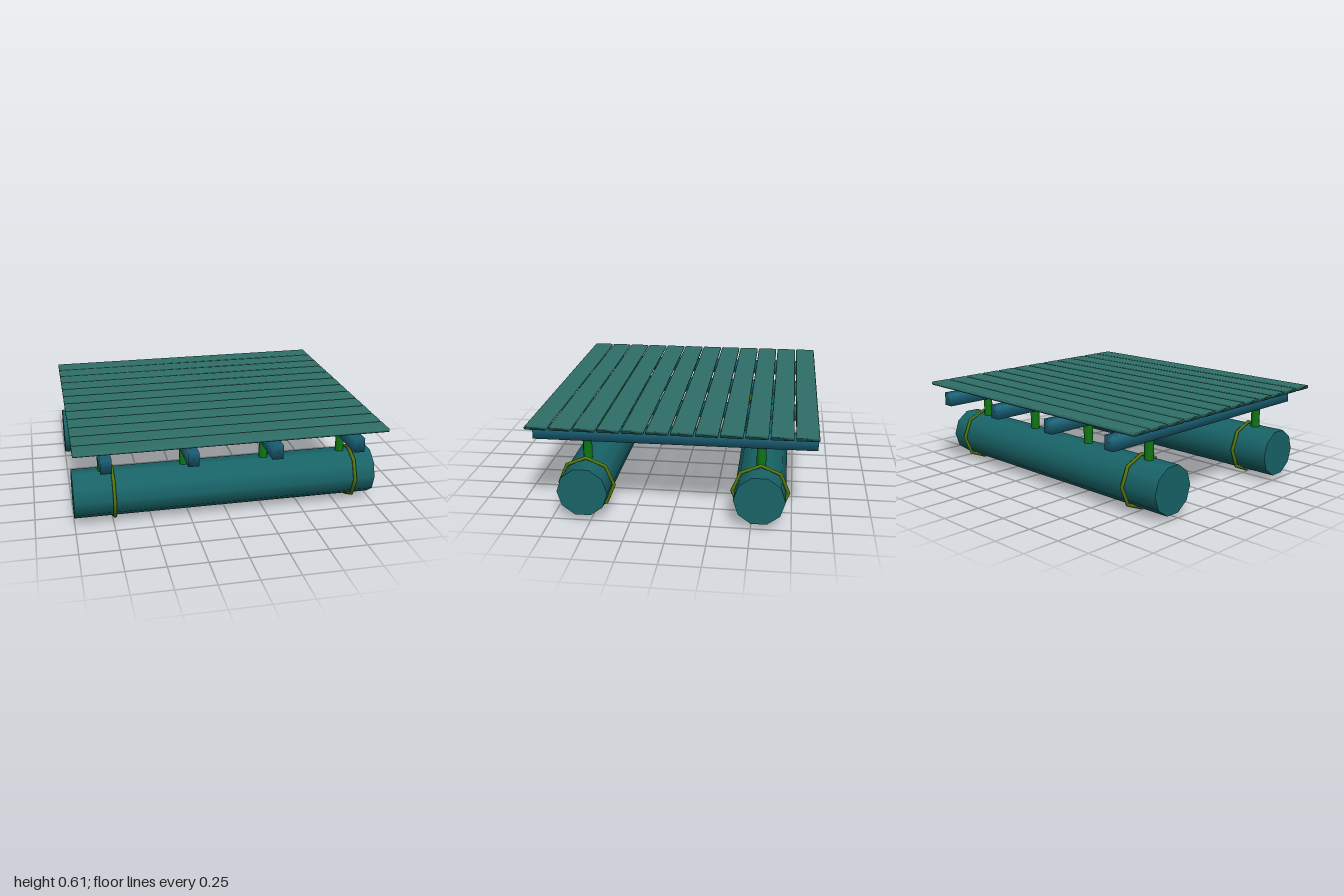
import * as THREE from 'three';
import { mergeVertices } from 'three/addons/utils/BufferGeometryUtils.js';

const mat = (color) => new THREE.MeshStandardMaterial({ color });

// Share corners so the shading runs softly over the edges
function softened(geometry) {
  geometry.deleteAttribute('normal');
  geometry.deleteAttribute('uv');
  const merged = mergeVertices(geometry, 1e-4);
  merged.computeVertexNormals();
  return merged;
}

// Long board along x with small chamfers on its four long edges
function plankGeometry(length, height, width, c) {
  const h = height / 2, w = width / 2;
  const outline = [
    [-w + c, -h], [w - c, -h], [w, -h + c], [w, h - c],
    [w - c, h], [-w + c, h], [-w, h - c], [-w, -h + c],
  ].map(([x, y]) => new THREE.Vector2(x, y));
  const geo = new THREE.ExtrudeGeometry(new THREE.Shape(outline), { depth: length, bevelEnabled: false });
  geo.translate(0, 0, -length / 2);
  geo.rotateY(Math.PI / 2);
  return softened(geo);
}

export function createModel() {
  const model = new THREE.Group();
  model.name = 'raft';

  const plankMat = mat(0x2f7068);
  const logMat = mat(0x186468);
  const beamMat = mat(0x1f6c84);
  const postMat = mat(0x107814);
  const ropeMat = mat(0x55780c);

  const add = (name, geometry, material, x, y, z) => {
    const mesh = new THREE.Mesh(geometry, material);
    mesh.name = name;
    mesh.position.set(x, y, z);
    model.add(mesh);
  };

  const deckX = -0.003;
  const floatY = 0.19;
  const beamXs = [-0.8, -0.267, 0.267, 0.8].map((x) => x + deckX);

  // Deck planks
  const plankGeo = plankGeometry(1.99, 0.022, 0.14, 0.006);
  for (let i = 0; i < 12; i++) {
    add('plank', plankGeo, plankMat, deckX, 0.601, (i - 5.5) * 0.15);
  }

  // Cross beams under the deck
  const beamGeo = softened(new THREE.BoxGeometry(0.07, 0.09, 1.79));
  for (const x of beamXs) add('crossBeam', beamGeo, beamMat, x, 0.514, 0);

  // Ten-sided floats with a corner on top
  const logGeo = new THREE.CylinderGeometry(0.16, 0.16, 2, 10);
  logGeo.rotateZ(Math.PI / 2);

  // Eight-sided lashing rings and short posts
  const ropeGeo = new THREE.TorusGeometry(0.175, 0.012, 6, 8);
  ropeGeo.rotateY(Math.PI / 2);
  const postGeo = new THREE.CylinderGeometry(0.03, 0.03, 0.14, 8);

  for (const z of [-0.55, 0.55]) {
    add('floatLog', logGeo, logMat, 0, floatY, z);
    for (const x of beamXs) add('post', postGeo, postMat, x, 0.4, z);
    for (const x of [-0.743, 0.857]) add('lashing', ropeGeo, ropeMat, x, floatY, z);
  }

  return model;
}
